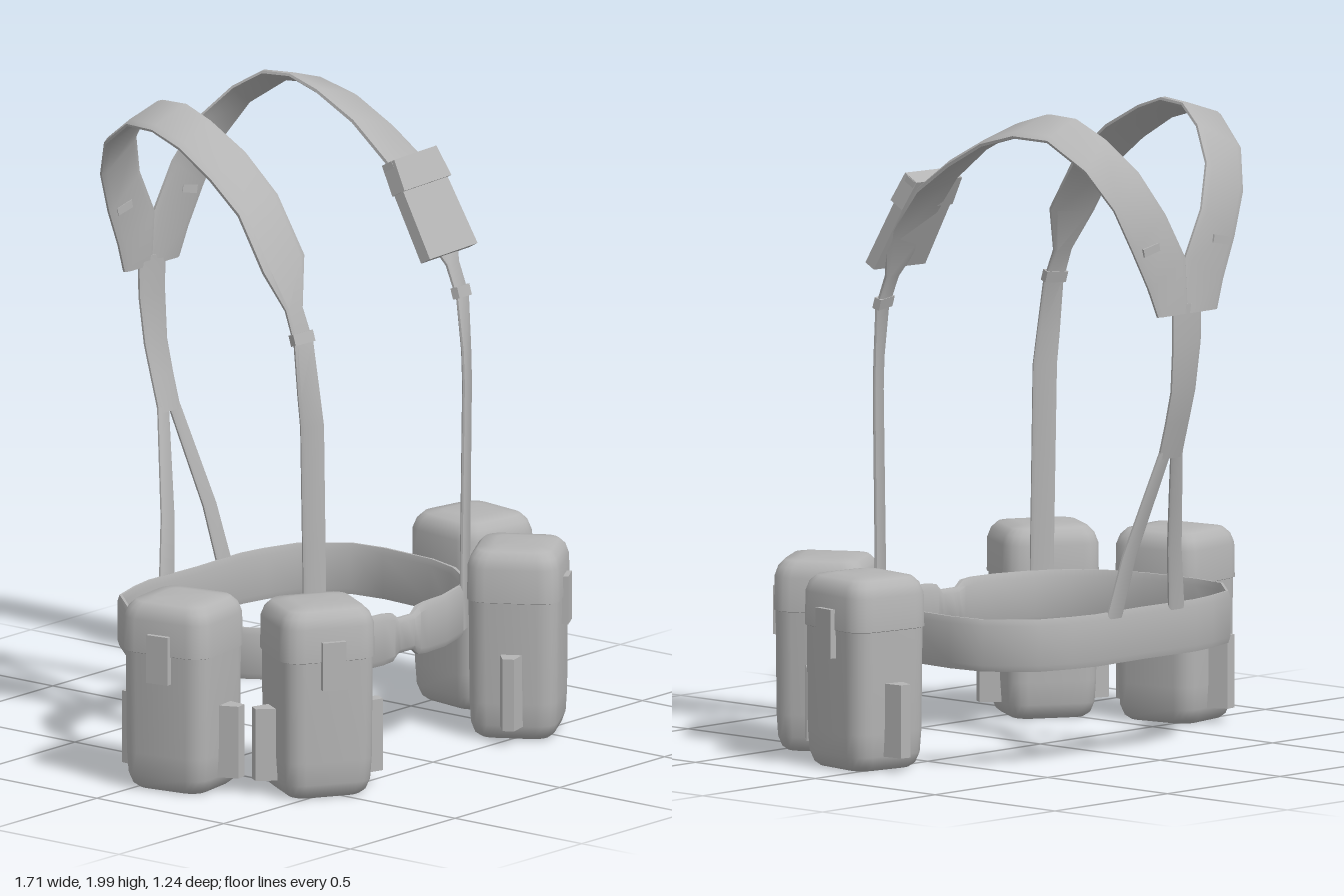
import * as THREE from 'three';
import { toCreasedNormals } from 'three/addons/utils/BufferGeometryUtils.js';

const fabric = new THREE.MeshStandardMaterial({ color: 0xb4b4b4 });
fabric.name = 'grey fabric';

function add(parent, geometry, name, x = 0, y = 0, z = 0) {
  const mesh = new THREE.Mesh(geometry, fabric);
  mesh.name = name;
  mesh.position.set(x, y, z);
  parent.add(mesh);
  return mesh;
}

// Skin a list of equal-sized rings, each counter-clockwise about the travel direction
function loft(rings, closed = false, crease = 0.7) {
  const n = rings[0].length, pos = [], idx = [];
  rings.forEach(r => r.forEach(p => pos.push(p.x, p.y, p.z)));
  const spans = closed ? rings.length : rings.length - 1;
  for (let i = 0; i < spans; i++) {
    const a = i * n, b = ((i + 1) % rings.length) * n;
    for (let j = 0; j < n; j++) {
      const k = (j + 1) % n;
      idx.push(a + j, a + k, b + k, a + j, b + k, b + j);
    }
  }
  if (!closed) {
    [0, rings.length - 1].forEach(i => {
      const c = new THREE.Vector3();
      rings[i].forEach(p => c.addScaledVector(p, 1 / n));
      const ci = pos.length / 3;
      pos.push(c.x, c.y, c.z);
      for (let j = 0; j < n; j++) {
        const a = i * n + j, b = i * n + (j + 1) % n;
        if (i) idx.push(ci, a, b); else idx.push(ci, b, a);
      }
    });
  }
  const g = new THREE.BufferGeometry();
  g.setAttribute('position', new THREE.Float32BufferAttribute(pos, 3));
  g.setIndex(idx);
  return toCreasedNormals(g, crease);
}

// Padded band between two edges; each row is [ax, ay, az, bx, by, bz, thickness]
const section = [[0, -0.4], [0.12, -1], [0.88, -1], [1, -0.4], [1, 0.4], [0.88, 1], [0.12, 1], [0, 0.4]];
function band(rows, closed = false) {
  const n = rows.length;
  const A = rows.map(r => new THREE.Vector3(r[0], r[1], r[2]));
  const B = rows.map(r => new THREE.Vector3(r[3], r[4], r[5]));
  const mid = A.map((a, i) => a.clone().add(B[i]).multiplyScalar(0.5));
  const rings = rows.map((r, i) => {
    const next = closed ? (i + 1) % n : Math.min(i + 1, n - 1);
    const prev = closed ? (i + n - 1) % n : Math.max(i - 1, 0);
    const across = B[i].clone().sub(A[i]);
    const normal = mid[next].clone().sub(mid[prev]).cross(across).normalize();
    return section.map(([u, v]) => A[i].clone().addScaledVector(across, u).addScaledVector(normal, v * r[6] / 2));
  });
  return loft(rings, closed);
}

const flipRows = (rows, s) => rows.map(r => [s * r[0], r[1], r[2], s * r[3], r[4], r[5], r[6]]);

// Rounded rectangle ring at height y
function roundedRing(w, d, radius, y) {
  const pts = [];
  [[1, 1], [1, -1], [-1, -1], [-1, 1]].forEach(([sx, sz], q) => {
    for (let i = 0; i <= 4; i++) {
      const a = (q + i / 4) * Math.PI / 2;
      pts.push(new THREE.Vector3(
        sx * (w / 2 - radius) + radius * Math.sin(a), y,
        sz * (d / 2 - radius) + radius * Math.cos(a)));
    }
  });
  return pts;
}

// Each level is [y, scale]
const shell = levels => loft(levels.map(([y, s]) => roundedRing(0.295 * s, 0.28 * s, 0.06 * s, y)), false, 0.8);

function pouch(name) {
  const g = new THREE.Group();
  g.name = name;
  add(g, shell([[0.005, 0.76], [0.018, 0.87], [0.05, 0.95], [0.12, 0.98], [0.46, 1]]), 'pouchBody');
  add(g, shell([[0.435, 1], [0.437, 1.03], [0.54, 1.02], [0.57, 0.95], [0.59, 0.82], [0.597, 0.5]]), 'pouchLid');
  add(g, new THREE.BoxGeometry(0.075, 0.15, 0.025), 'pouchLatch', 0, 0.425, 0.147);
  // Tapered side loops
  const tab = new THREE.Shape([[0.13, -0.038], [0.205, -0.018], [0.205, 0.018], [0.13, 0.038]].map(p => new THREE.Vector2(...p)));
  for (const turn of [0, Math.PI]) {
    const geo = new THREE.ExtrudeGeometry(tab, { depth: 0.225, bevelEnabled: false });
    geo.rotateX(-Math.PI / 2).rotateY(turn);
    add(g, geo, 'sideLoop', 0, 0.05, 0);
  }
  return g;
}

export function createModel() {
  const model = new THREE.Group();
  model.name = 'loadBearingHarness';

  // Belt, from back centre to front centre: [x, z, bottom, top, thickness]
  const half = [
    [0.22, -0.437, 0.31, 0.47, 0.018], [0.31, -0.42, 0.31, 0.47, 0.018],
    [0.42, -0.385, 0.31, 0.47, 0.02], [0.53, -0.26, 0.31, 0.47, 0.02],
    [0.545, -0.14, 0.31, 0.47, 0.02], [0.53, 0.06, 0.31, 0.47, 0.02],
    [0.49, 0.18, 0.31, 0.47, 0.025], [0.42, 0.275, 0.31, 0.47, 0.025],
    [0.33, 0.335, 0.31, 0.47, 0.025], [0.2, 0.375, 0.31, 0.47, 0.03],
    [0.1, 0.382, 0.31, 0.47, 0.03], [0.06, 0.385, 0.315, 0.465, 0.035],
    [0.035, 0.385, 0.335, 0.445, 0.03]];
  const loop = [[0, -0.43, 0.31, 0.47, 0.018], ...half, [0, 0.385, 0.335, 0.445, 0.03],
    ...half.slice().reverse().map(([x, ...r]) => [-x, ...r])];
  add(model, band(loop.map(([x, z, b, t, w]) => [x, b, z, x, t, z, w]), true), 'belt');

  // Shoulder strap, front of belt over the shoulder to the back yoke (inner edge, outer edge)
  const strap = [
    [0.32, 0.33, 0.345, 0.39, 0.33, 0.315, 0.016],
    [0.335, 1.1, 0.345, 0.405, 1.1, 0.312, 0.016],
    [0.342, 1.2, 0.335, 0.41, 1.2, 0.305, 0.016],
    [0.345, 1.36, 0.31, 0.415, 1.36, 0.295, 0.016],
    [0.345, 1.46, 0.268, 0.412, 1.46, 0.258, 0.018],
    [0.268, 1.6, 0.21, 0.46, 1.58, 0.21, 0.022],
    [0.262, 1.77, 0.1, 0.445, 1.74, 0.1, 0.024],
    [0.257, 1.88, -0.03, 0.435, 1.83, -0.02, 0.024],
    [0.252, 1.955, -0.17, 0.425, 1.905, -0.15, 0.022],
    [0.245, 1.99, -0.27, 0.41, 1.94, -0.27, 0.02],
    [0.235, 1.985, -0.37, 0.385, 1.935, -0.39, 0.02],
    [0.205, 1.93, -0.46, 0.345, 1.85, -0.51, 0.02],
    [0.15, 1.83, -0.55, 0.285, 1.73, -0.575, 0.018],
    [0.08, 1.7, -0.595, 0.225, 1.6, -0.595, 0.018],
    [0, 1.56, -0.602, 0.165, 1.48, -0.605, 0.018],
    [0, 1.39, -0.612, 0.13, 1.39, -0.612, 0.018]];
  // Lower back leg from the split to the belt
  const leg = [
    [0, 0.96, -0.545, 0.05, 0.96, -0.545, 0.014],
    [0.035, 0.8, -0.505, 0.09, 0.8, -0.505, 0.014],
    [0.07, 0.64, -0.465, 0.13, 0.64, -0.465, 0.014],
    [0.105, 0.45, -0.437, 0.172, 0.45, -0.437, 0.014]];
  for (const s of [1, -1]) {
    const side = s > 0 ? 'left' : 'right';
    add(model, band(flipRows(strap, s)), side + 'ShoulderStrap');
    add(model, band(flipRows(leg, s)), side + 'BackLeg');
    // Strap adjuster and small webbing keeper on the back
    const adjuster = add(model, new THREE.BoxGeometry(0.078, 0.035, 0.024), side + 'Adjuster', s * 0.38, 1.375, 0.297);
    adjuster.rotation.set(-0.3, s * 0.2, 0);
    const keeper = add(model, new THREE.BoxGeometry(0.07, 0.025, 0.026), side + 'Keeper', s * 0.155, 1.6, -0.599);
    keeper.rotation.z = -s * 0.2;

    const front = pouch(side + 'FrontPouch');
    front.position.set(s * 0.48, 0, 0.44);
    front.rotation.y = s * 0.54;
    const hip = pouch(side + 'HipPouch');
    hip.position.set(s * 0.69, 0, 0.085);
    hip.rotation.y = s * 1.41;
    model.add(front, hip);
  }

  // Single strap down the spine
  add(model, band([
    [-0.062, 1.42, -0.61], [-0.06, 1.3, -0.61], [-0.052, 1.15, -0.595], [-0.05, 1.05, -0.57], [-0.05, 0.94, -0.54]
  ].map(([x, y, z]) => [x, y, z, -x, y, z, 0.016])), 'spineStrap');

  // Pocket with flap on the left shoulder pad
  const pocket = new THREE.Group();
  pocket.name = 'shoulderPocket';
  pocket.position.set(0.352, 1.635, 0.193);
  pocket.rotation.set(-0.5, 0, 0.03);
  const taper = (w, h, d) => {
    const g = new THREE.BoxGeometry(w, h, d), p = g.attributes.position;
    for (let i = 0; i < p.count; i++) if (p.getY(i) > 0) p.setX(i, p.getX(i) * 0.9);
    g.computeVertexNormals();
    return g;
  };
  add(pocket, taper(0.232, 0.32, 0.04), 'pocketBody');
  add(pocket, taper(0.228, 0.1, 0.055), 'pocketFlap', 0, 0.112, 0.004);
  model.add(pocket);
  return model;
}
